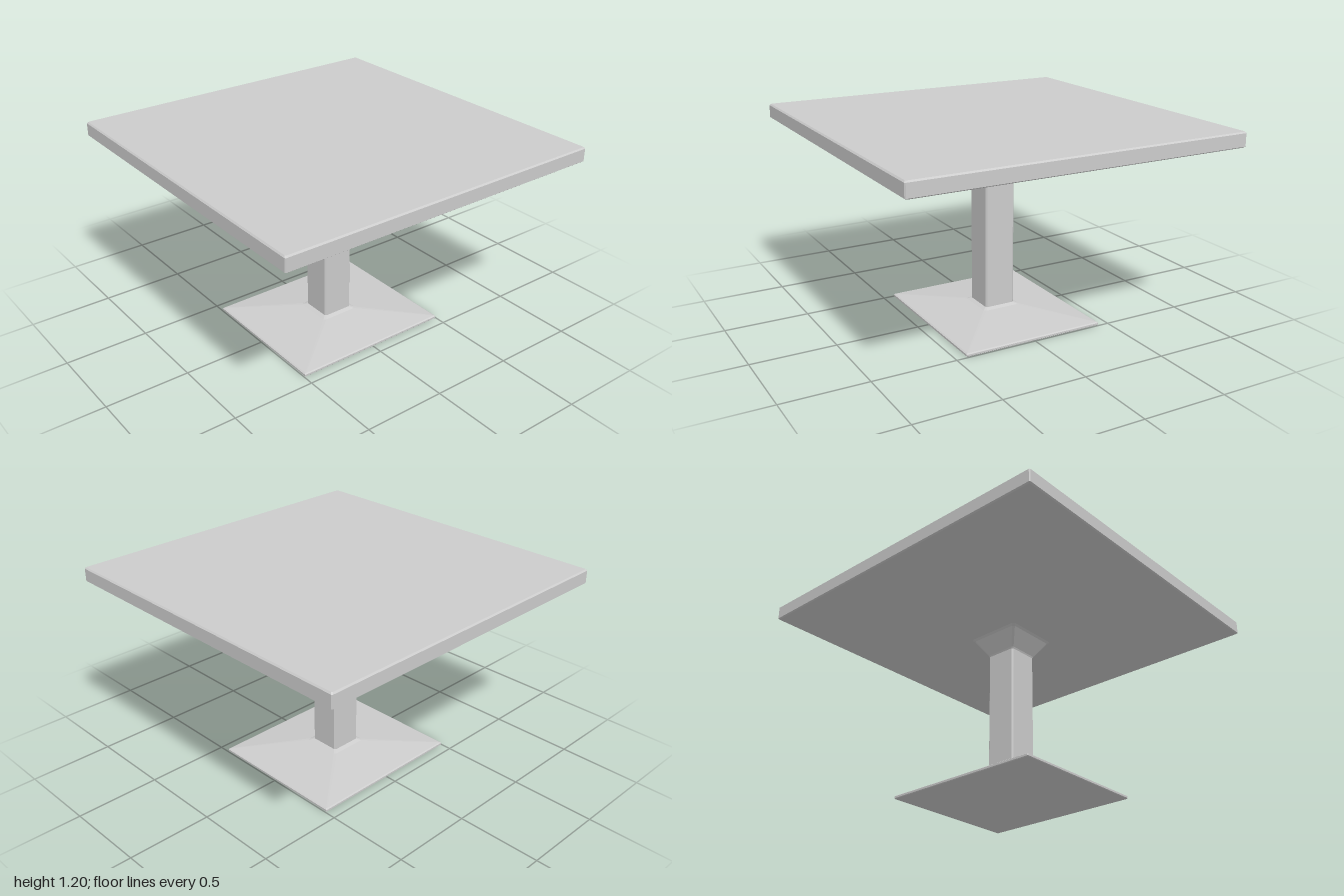
import * as THREE from 'three';

const material = new THREE.MeshStandardMaterial({ color: 0xcccccc, flatShading: true });

// Rectangle with chamfered corners, counter-clockwise seen from above
function ring([y, hx, hz, c]) {
  return [
    [hx, hz - c], [hx, c - hz], [hx - c, -hz], [c - hx, -hz],
    [-hx, c - hz], [-hx, hz - c], [c - hx, hz], [hx - c, hz],
  ].map(([x, z]) => [x, y, z]);
}

// Closed solid through sections [y, half width, half depth, corner chamfer], bottom to top
function loft(name, sections) {
  const rings = sections.map(ring);
  const n = 8;
  const pos = [];
  const tri = (a, b, c) => pos.push(...a, ...b, ...c);
  for (let k = 0; k < rings.length - 1; k++) {
    for (let i = 0; i < n; i++) {
      const j = (i + 1) % n;
      const [a, b, c, d] = [rings[k][i], rings[k][j], rings[k + 1][j], rings[k + 1][i]];
      tri(a, b, c);
      tri(a, c, d);
    }
  }
  const bottom = rings[0], top = rings[rings.length - 1];
  for (let i = 1; i < n - 1; i++) {
    tri(bottom[0], bottom[i + 1], bottom[i]);
    tri(top[0], top[i], top[i + 1]);
  }
  const geometry = new THREE.BufferGeometry();
  geometry.setAttribute('position', new THREE.Float32BufferAttribute(pos, 3));
  geometry.computeVertexNormals();
  const mesh = new THREE.Mesh(geometry, material);
  mesh.name = name;
  return mesh;
}

export function createModel() {
  const group = new THREE.Group();
  group.name = 'pedestalTable';

  // Shallow pyramid foot with a thin rim and a small collar
  group.add(loft('base', [
    [0, 0.492, 0.432, 0.004],
    [0.004, 0.496, 0.436, 0.004],
    [0.015, 0.496, 0.436, 0.004],
    [0.02, 0.488, 0.428, 0.004],
    [0.064, 0.118, 0.118, 0.012],
    [0.074, 0.094, 0.094, 0.009],
  ]));

  // Square post that flares out under the top
  group.add(loft('column', [
    [0.06, 0.094, 0.094, 0.009],
    [0.895, 0.094, 0.094, 0.009],
    [0.905, 0.098, 0.098, 0.009],
    [0.998, 0.158, 0.158, 0.012],
    [1.008, 0.17, 0.17, 0.012],
    [1.014, 0.19, 0.19, 0.012],
  ]));

  // Square top with a tapered underside and softened edges
  group.add(loft('tableTop', [
    [1.009, 0.175, 0.175, 0.012],
    [1.112, 0.992, 0.992, 0.006],
    [1.118, 1, 1, 0.006],
    [1.192, 1, 1, 0.006],
    [1.2, 0.992, 0.992, 0.006],
  ]));

  return group;
}
